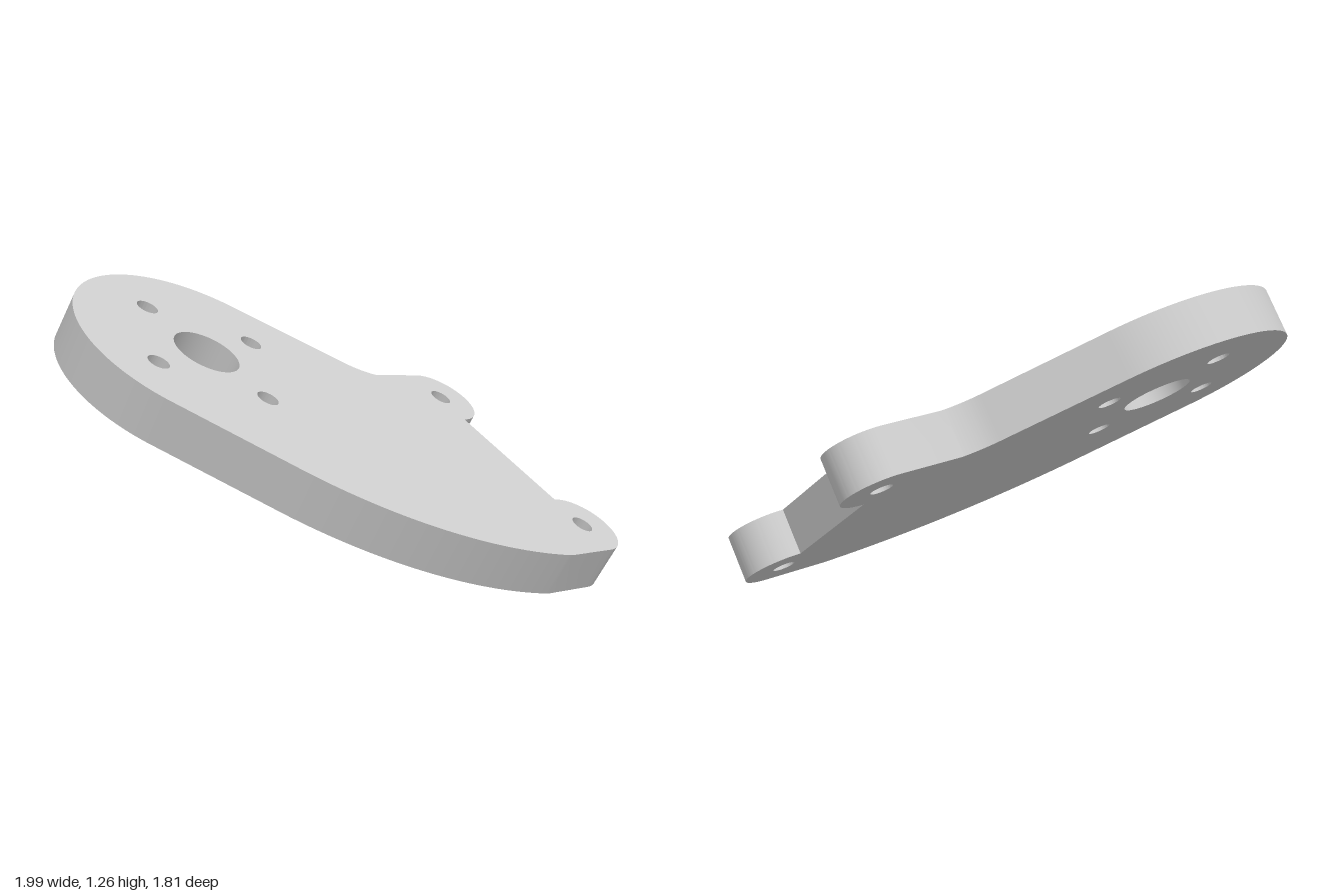
import * as THREE from 'three';
import { toCreasedNormals } from 'three/addons/utils/BufferGeometryUtils.js';

const deg = THREE.MathUtils.degToRad;

export function createModel() {
  const group = new THREE.Group();
  const thickness = 0.195;
  const hub = [-0.477, -0.337];
  const lugs = [[0.104, 0.74], [0.981, 0.52]];

  // Outline, counter-clockwise: round hub, bowed edge, two lugs, neck
  const outline = new THREE.Shape();
  outline.absarc(...hub, 0.565, deg(115.8), deg(294), false);
  outline.absarc(-0.381, 0.804, 1.58, deg(-66), deg(-22.4), false);
  outline.absarc(...lugs[1], 0.167, deg(-13), deg(166), false);
  outline.absarc(...lugs[0], 0.167, deg(-16.6), deg(168.3), false);
  outline.lineTo(-0.121, 0.51);
  outline.quadraticCurveTo(-0.167, 0.44, -0.242, 0.404);
  outline.closePath();

  // Through holes: centre bore, bolt circle, lug holes
  const drill = (x, y, r) => {
    const hole = new THREE.Path();
    hole.absarc(x, y, r, 0, Math.PI * 2, true);
    outline.holes.push(hole);
  };
  drill(...hub, 0.142);
  for (let i = 0; i < 4; i++) {
    const a = i * Math.PI / 2;
    drill(hub[0] + 0.327 * Math.cos(a), hub[1] + 0.327 * Math.sin(a), 0.046);
  }
  lugs.forEach(([x, y]) => drill(x, y, 0.046));

  // Plate laid flat with its upper face at y = 0, then tilted
  const flat = new THREE.ExtrudeGeometry(outline, {
    depth: thickness, bevelEnabled: false, curveSegments: 32,
  });
  flat.rotateX(-Math.PI / 2);
  flat.translate(0, -thickness, 0);
  const plate = new THREE.Mesh(
    toCreasedNormals(flat, deg(25)),
    new THREE.MeshStandardMaterial({ color: 0xcccccc }),
  );
  plate.name = 'mountingPlate';
  plate.rotation.z = deg(-30);
  plate.position.y = 0.745;
  group.add(plate);
  return group;
}
